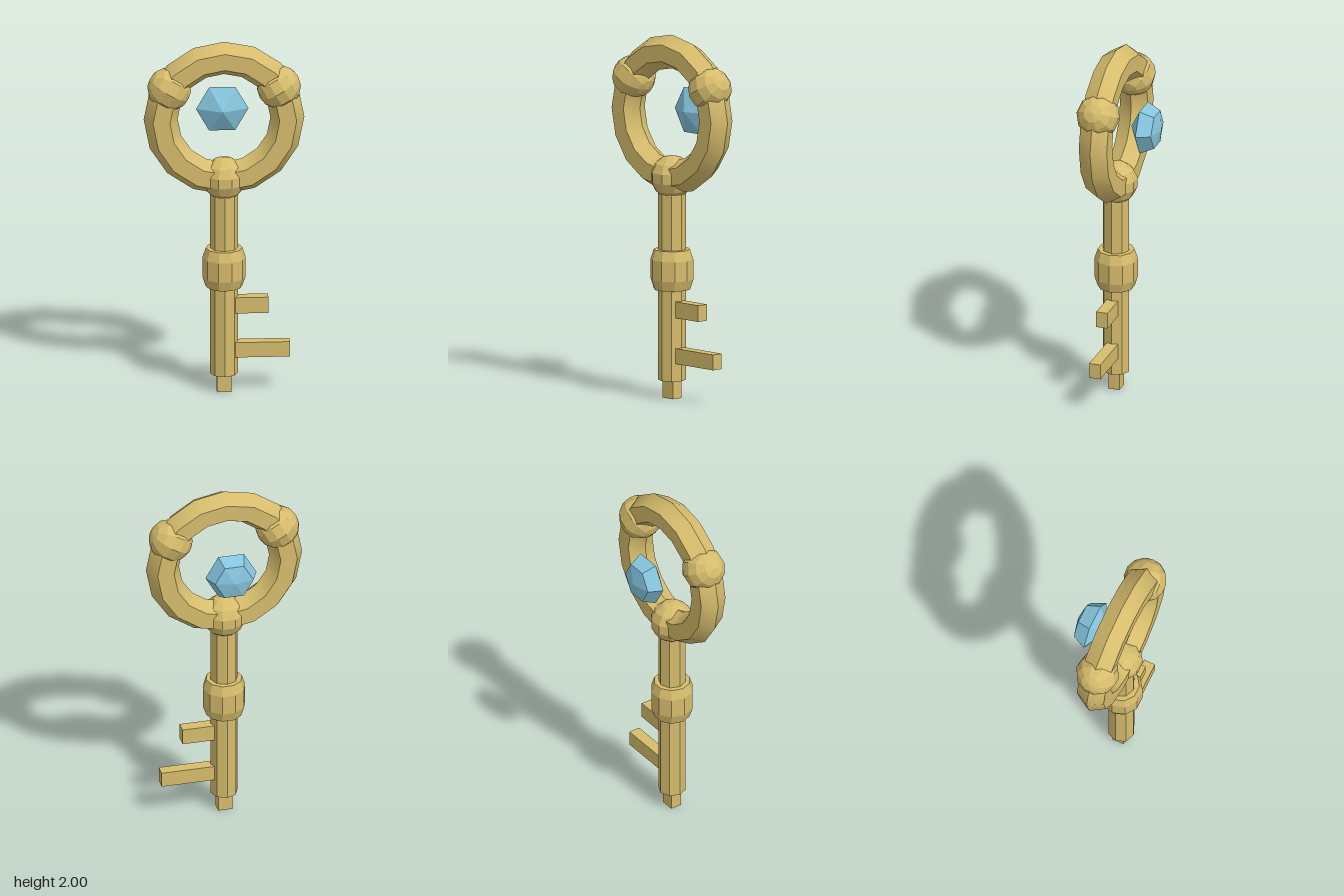
import * as THREE from 'three';
import { toCreasedNormals } from 'three/addons/utils/BufferGeometryUtils.js';

export function createModel() {
  const gold = new THREE.MeshStandardMaterial({ color: 0xd6bc6c });
  gold.name = 'gold';
  const blue = new THREE.MeshStandardMaterial({ color: 0x86c6df });
  blue.name = 'gem blue';

  const model = new THREE.Group();
  model.name = 'key';
  const Z = 0.07; // depth of the key's mid plane
  const ringY = 1.563, ringR = 0.345;

  // crease 0.1 gives flat facets, larger values smooth shallow edges
  function add(name, geometry, material, x, y, z, crease = 0.1) {
    const mesh = new THREE.Mesh(toCreasedNormals(geometry, crease), material);
    mesh.name = name;
    mesh.position.set(x, y, z);
    model.add(mesh);
    return mesh;
  }
  const lathe = (points, sides) =>
    new THREE.LatheGeometry(points.map(([r, y]) => new THREE.Vector2(r, y)), sides);

  // Hexagonal-section ring handle
  add('ringHandle', new THREE.TorusGeometry(ringR, 0.0925, 6, 16), gold, 0, ringY, Z, 0.5);

  // Three faceted knobs around the ring, poles pointing outward
  for (const degrees of [30, 150, 270]) {
    const a = THREE.MathUtils.degToRad(degrees);
    const ball = new THREE.SphereGeometry(0.12, 10, 7);
    if (degrees !== 270) ball.rotateY(Math.PI / 2);
    ball.rotateZ(a - Math.PI / 2);
    add('ringKnob', ball, gold, ringR * Math.cos(a), ringY + ringR * Math.sin(a), Z);
  }

  // Shaft and its barrel-shaped collar
  add('shaft', new THREE.CylinderGeometry(0.075, 0.075, 1.08, 8), gold, 0, 0.64, Z);
  const collar = lathe([[0, -0.11], [0.1, -0.11], [0.118, -0.055], [0.118, 0.055], [0.1, 0.11], [0, 0.11]], 10);
  collar.rotateY(Math.PI / 10);
  add('collar', collar, gold, 0, 0.71, Z);

  // Square tip and the two teeth
  add('tip', new THREE.BoxGeometry(0.08, 0.12, 0.065), gold, 0, 0.06, Z);
  for (const [end, y, height] of [[0.24, 0.495, 0.09], [0.357, 0.24, 0.085]]) {
    add('tooth', new THREE.BoxGeometry(end, height, 0.065), gold, end / 2, y, Z);
  }

  // Six-sided cut gem floating behind the ring
  const gem = lathe([[0, -0.19], [0.107, -0.165], [0.143, -0.088], [0, -0.018]], 6);
  gem.rotateY(Math.PI / 6);
  gem.rotateX(Math.PI / 2);
  add('gem', gem, blue, 0, ringY, 0);

  return model;
}
